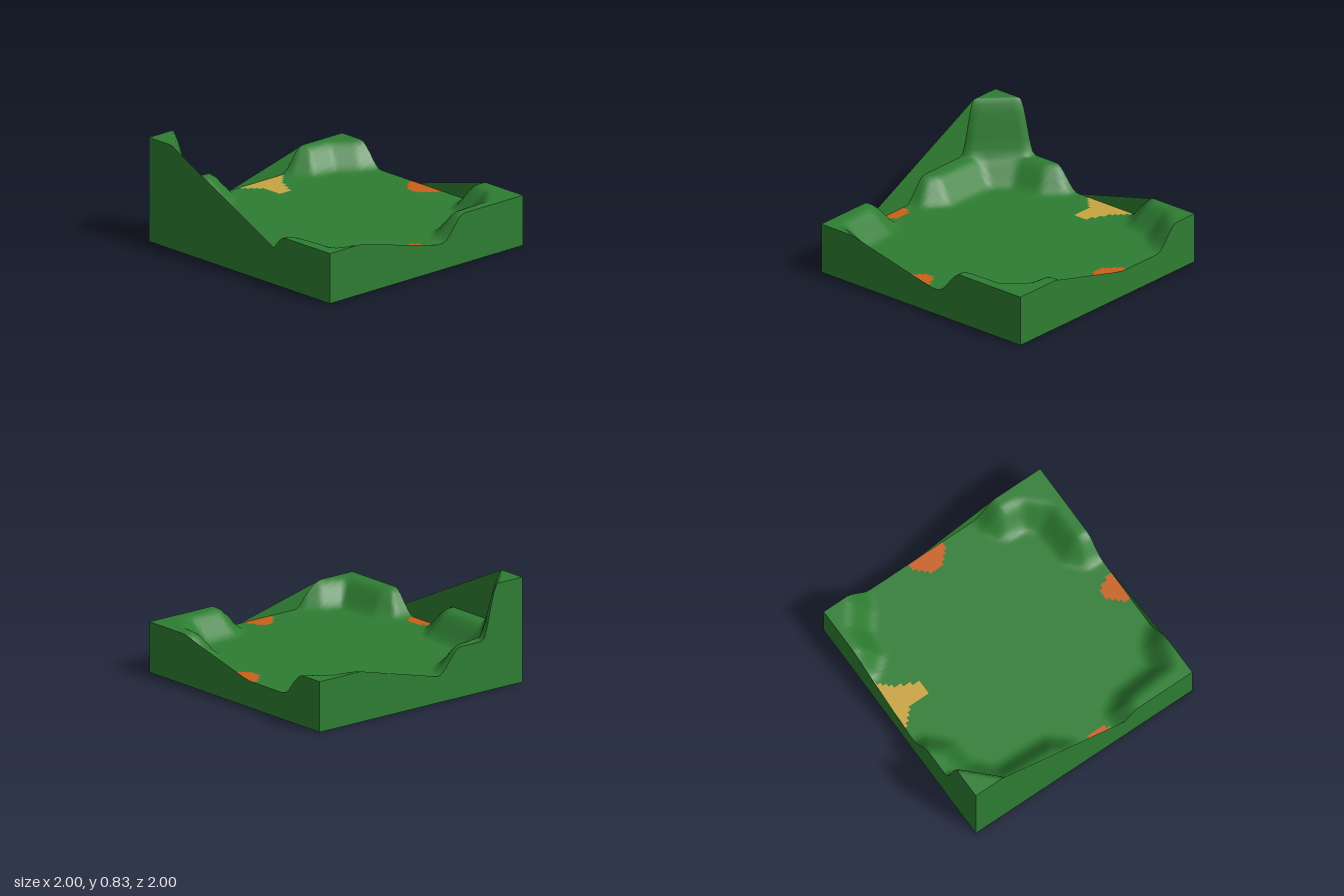
import * as THREE from 'three';

const N = 64;              // cells per side
const FLOOR = 0.21;

// Raised areas: outline of the mid-slope [x, z], extra height, half width of the slope
const hills = [
  { rise: 0.19, half: 0.11, outline: [[-1.3, -1.3], [-0.28, -1.3], [-0.28, -0.95], [-0.4, -0.84], [-0.62, -0.81],
    [-0.8, -0.65], [-0.82, -0.2], [-0.92, -0.08], [-1.3, -0.07]] },
  { rise: 0.19, half: 0.11, outline: [[1.3, -1.3], [0.48, -1.3], [0.48, -0.97], [0.56, -0.87], [0.75, -0.84],
    [0.9, -0.72], [1, -0.68], [1.3, -0.68]] },
  { rise: 0.19, half: 0.11, outline: [[1.3, 1.3], [0.28, 1.3], [0.28, 0.9], [0.36, 0.83], [0.68, 0.82],
    [0.8, 0.7], [0.82, 0.53], [0.9, 0.48], [1.3, 0.48]] },
  { rise: 0.19, half: 0.11, outline: [[-1.3, 1.3], [-0.53, 1.3], [-0.54, 1], [-0.62, 0.92], [-0.8, 0.85],
    [-0.83, 0.5], [-0.9, 0.39], [-1.3, 0.39]] },
  // tall corner peak
  { rise: 0.43, half: 0.075, outline: [[-1.3, -1.3], [-0.68, -1.3], [-0.68, -0.97], [-0.97, -0.68], [-1.3, -0.68]] },
];

// Coloured ground patches at the four openings
const patches = [
  { name: 'backPath', color: 0xc8a440, outline: [[-0.07, -1.1], [0.38, -1.1], [0.37, -0.98], [0.3, -0.92], [0.21, -0.78],
    [0.18, -0.69], [0.09, -0.69], [0.06, -0.72], [0.06, -0.86], [-0.06, -0.98]] },
  { name: 'leftPatch', color: 0xc8601a, outline: [[1.1, -0.23], [0.94, -0.22], [0.84, -0.1], [0.84, -0.03], [0.95, 0.09], [1.1, 0.1]] },
  { name: 'rightPatch', color: 0xc8601a, outline: [[-1.1, 0.06], [-0.94, 0.06], [-0.91, 0.1], [-0.91, 0.22], [-0.94, 0.27], [-1.1, 0.28]] },
  { name: 'frontPatch', color: 0xc8601a, outline: [[-0.19, 1.1], [-0.19, 0.96], [-0.07, 0.84], [0, 0.84], [0.06, 0.95], [0.06, 1.1]] },
];

function inside(x, z, poly) {
  let hit = false;
  poly.forEach(([ax, az], i) => {
    const [bx, bz] = poly[(i + 1) % poly.length];
    if ((az > z) !== (bz > z) && x < ax + (bx - ax) * (z - az) / (bz - az)) hit = !hit;
  });
  return hit;
}

// Distance to the outline, positive inside
function signedDistance(x, z, poly) {
  let best = Infinity;
  poly.forEach(([ax, az], i) => {
    const [bx, bz] = poly[(i + 1) % poly.length];
    const dx = bx - ax, dz = bz - az;
    const t = THREE.MathUtils.clamp(((x - ax) * dx + (z - az) * dz) / (dx * dx + dz * dz), 0, 1);
    best = Math.min(best, Math.hypot(x - ax - t * dx, z - az - t * dz));
  });
  return inside(x, z, poly) ? best : -best;
}

function height(x, z) {
  return hills.reduce((y, h) =>
    y + h.rise * THREE.MathUtils.smoothstep(signedDistance(x, z, h.outline), -h.half, h.half), FLOOR);
}

// Side wall: a fan from the bottom corner a along the ground edge to corner b
function wallGeometry(a, b) {
  const pivot = new THREE.Vector3(a[0], 0, a[1]);
  const normal = new THREE.Vector3(a[0] + b[0], 0, a[1] + b[1]).normalize();
  const edge = [];
  for (let i = 0; i <= N; i++) {
    const x = THREE.MathUtils.lerp(a[0], b[0], i / N), z = THREE.MathUtils.lerp(a[1], b[1], i / N);
    edge.push(new THREE.Vector3(x, height(x, z), z));
  }
  edge.push(new THREE.Vector3(b[0], 0, b[1]));
  const points = [];
  for (let i = 0; i < edge.length - 1; i++) {
    const p = edge[i], q = edge[i + 1];
    const facing = p.clone().sub(pivot).cross(q.clone().sub(pivot)).dot(normal);
    points.push(pivot, ...(facing > 0 ? [p, q] : [q, p]));
  }
  const geo = new THREE.BufferGeometry().setFromPoints(points);
  geo.computeVertexNormals();
  return geo;
}

export function createModel() {
  const group = new THREE.Group();
  const green = new THREE.MeshStandardMaterial({ color: 0x2e7d32, side: THREE.DoubleSide });
  const add = (name, geo, mat) => {
    const mesh = new THREE.Mesh(geo, mat);
    mesh.name = name;
    group.add(mesh);
    return mesh;
  };

  // Height field
  const field = new THREE.PlaneGeometry(2, 2, N, N).rotateX(-Math.PI / 2);
  const pos = field.attributes.position;
  for (let i = 0; i < pos.count; i++) pos.setY(i, height(pos.getX(i), pos.getZ(i)));
  field.computeVertexNormals();

  // Sort its cells into the grass and the patches
  const cells = [[], ...patches.map(() => [])];
  const index = field.index.array;
  for (let c = 0; c < N * N; c++) {
    const x = -1 + 2 * (c % N + 0.5) / N, z = -1 + 2 * (Math.floor(c / N) + 0.5) / N;
    const kind = patches.findIndex(p => inside(x, z, p.outline)) + 1;
    cells[kind].push(...index.slice(c * 6, c * 6 + 6));
  }
  cells.forEach((list, k) => {
    const geo = new THREE.BufferGeometry();
    geo.setAttribute('position', pos);
    geo.setAttribute('normal', field.attributes.normal);
    geo.setIndex(list);
    const patch = patches[k - 1];
    add(patch ? patch.name : 'grass', geo,
      patch ? new THREE.MeshStandardMaterial({ color: patch.color, side: THREE.DoubleSide }) : green);
  });

  // Side walls and underside
  const corners = [[1, 1], [-1, 1], [-1, -1], [1, -1]];
  ['frontWall', 'rightWall', 'backWall', 'leftWall'].forEach((name, i) =>
    add(name, wallGeometry(corners[i], corners[(i + 1) % 4]), green));
  add('underside', new THREE.PlaneGeometry(2, 2).rotateX(Math.PI / 2), green);
  return group;
}
